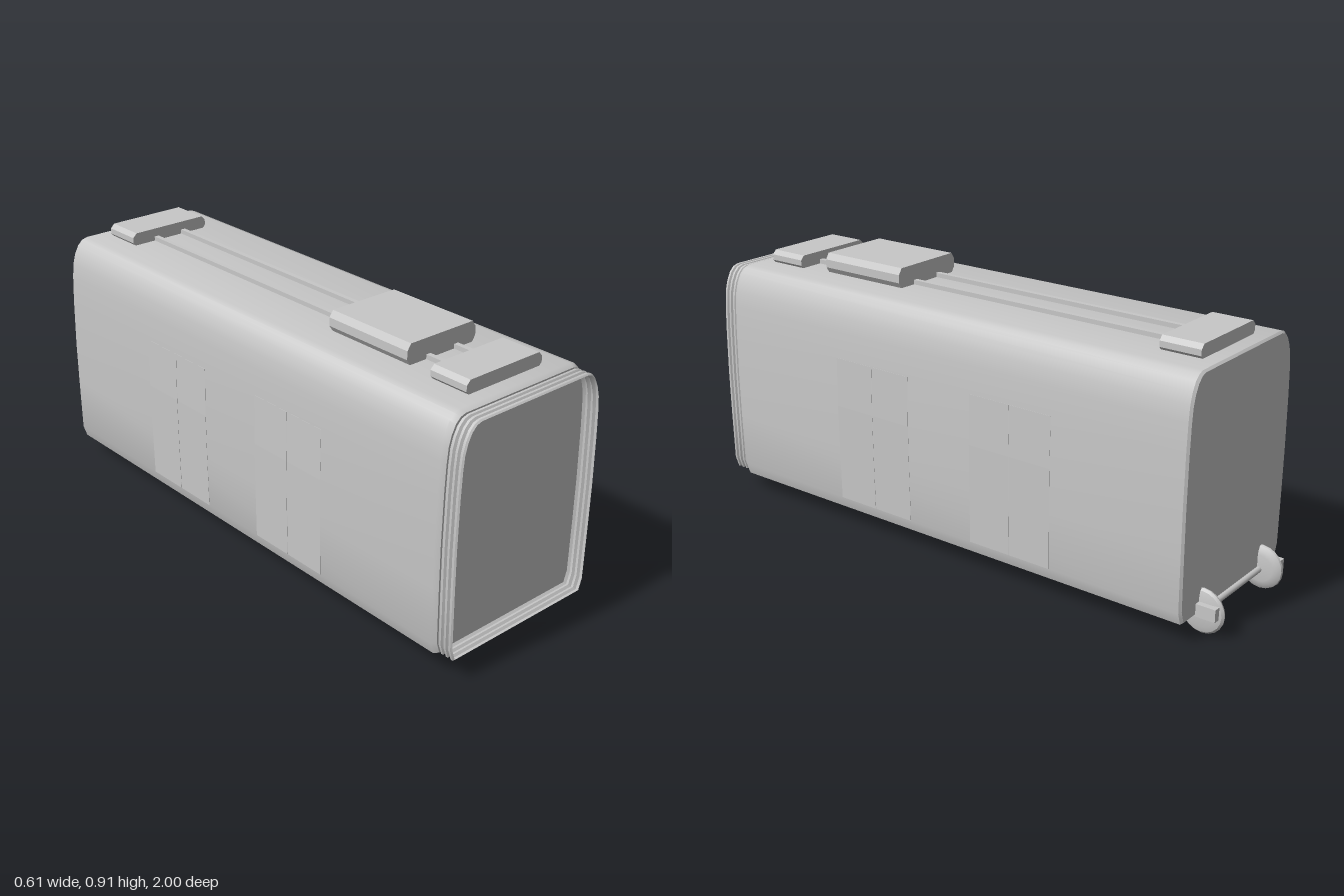
import * as THREE from 'three';
import { toCreasedNormals } from 'three/addons/utils/BufferGeometryUtils.js';

const paint = new THREE.MeshStandardMaterial({ color: 0xc8c8c8 });
paint.name = 'grey';
const paintDouble = paint.clone();
paintDouble.side = THREE.DoubleSide;

// Half of the body section, bottom to top
const HALF = [
  [0.288, 0.07], [0.301, 0.11], [0.304, 0.3], [0.305, 0.45], [0.302, 0.62], [0.298, 0.71],
  [0.293, 0.76], [0.283, 0.795], [0.268, 0.824], [0.25, 0.841], [0.23, 0.847],
];
const SECTION = [...HALF, ...HALF.map(([x, y]) => [-x, y]).reverse()];
const MID_Y = 0.4585;

// Lofts the section along z; each station is [z, inset], running back to front
function loft(stations, capped) {
  const n = SECTION.length, pos = [], idx = [];
  for (const [z, inset] of stations) {
    for (const [x, y] of SECTION) {
      pos.push(x * (1 - inset / 0.305), MID_Y + (y - MID_Y) * (1 - inset / 0.389), z);
    }
  }
  for (let s = 0; s < stations.length - 1; s++) {
    for (let i = 0; i < n; i++) {
      const a = s * n + i, b = s * n + (i + 1) % n;
      idx.push(a, b, b + n, a, b + n, a + n);
    }
  }
  if (capped) {
    const last = (stations.length - 1) * n;
    for (let i = 1; i < n - 1; i++) {
      idx.push(0, i + 1, i);
      idx.push(last, last + i, last + i + 1);
    }
  }
  const g = new THREE.BufferGeometry();
  g.setAttribute('position', new THREE.Float32BufferAttribute(pos, 3));
  g.setIndex(idx);
  return toCreasedNormals(g, 0.6);
}

function extrudeZ(points, z0, z1) {
  const shape = new THREE.Shape(points.map(([x, y]) => new THREE.Vector2(x, y)));
  const g = new THREE.ExtrudeGeometry(shape, { depth: z1 - z0, bevelEnabled: false });
  return g.translate(0, 0, z0);
}

// Roof unit with chamfered long edges
function roofUnit(x0, x1, y0, y1, z0, z1) {
  const c = 0.014, d = (y1 - y0) * 0.3;
  return extrudeZ([
    [x0 + c, y0], [x1 - c, y0], [x1, y0 + d], [x1, y1 - d],
    [x1 - c, y1], [x0 + c, y1], [x0, y1 - d], [x0, y0 + d],
  ], z0, z1);
}

export function createModel() {
  const model = new THREE.Group();
  model.name = 'busSection';
  const add = (name, geometry, parent = model, material = paint) => {
    const mesh = new THREE.Mesh(geometry, material);
    mesh.name = name;
    parent.add(mesh);
    return mesh;
  };

  // Main shell
  add('body', loft([[-0.918, 0.006], [-0.91, 0], [0.925, 0], [0.942, 0.008]], true));

  // Open folding joint at the front
  const folds = [[0.94, 0.016]];
  for (let i = 0; i < 3; i++) {
    const z = 0.944 + i * 0.019;
    folds.push([z + 0.005, 0.008], [z + 0.013, 0.008], [z + 0.018, 0.015]);
  }
  folds[folds.length - 1] = [1, 0.012];
  add('bellows', loft(folds, false), model, paintDouble);

  // Roof equipment
  add('rearRoofBox', roofUnit(-0.157, 0.157, 0.842, 0.891, -0.86, -0.72));
  add('frontRoofBox', roofUnit(-0.157, 0.157, 0.842, 0.891, 0.74, 0.88));
  add('airConditioner', roofUnit(-0.145, 0.14, 0.845, 0.915, 0.3, 0.635));
  for (const x of [-0.058, 0.058]) {
    const rail = add('roofRail', new THREE.BoxGeometry(0.017, 0.02, 1.48));
    rail.position.set(x, 0.852, 0.01);
  }

  // Thin double-leaf door panels that follow the side walls
  for (const side of [-1, 1]) {
    for (const z of [-0.285, 0.285]) {
      for (const leaf of [-1, 1]) {
        const outer = [[0.301, 0.11], [0.304, 0.3], [0.305, 0.45], [0.302, 0.62]];
        const points = [
          ...outer.map(([x, y]) => [side * (x + 0.0008), y]),
          ...outer.map(([x, y]) => [side * (x - 0.003), y]).reverse(),
        ];
        const centre = z + leaf * 0.079;
        add('doorLeaf', extrudeZ(points, centre - 0.078, centre + 0.078));
      }
    }
  }

  // Two axles, each with a pair of lens-shaped wheels and outer hub blocks
  const tyre = toCreasedNormals(new THREE.LatheGeometry([
    [0, -0.015], [0.05, -0.015], [0.068, -0.01], [0.075, -0.003],
    [0.073, 0.004], [0.06, 0.012], [0.045, 0.015], [0, 0.015],
  ].map(([r, h]) => new THREE.Vector2(r, h)), 20), 0.5);
  for (const z of [-0.49, -0.925]) {
    const set = new THREE.Group();
    set.name = 'wheelSet';
    set.position.set(0, 0.078, z);
    model.add(set);
    const axle = add('axle', new THREE.CylinderGeometry(0.01, 0.01, 0.36, 8), set);
    axle.rotation.z = Math.PI / 2;
    axle.position.y = -0.004;
    for (const side of [-1, 1]) {
      const wheel = add('wheel', tyre, set);
      wheel.rotation.z = side * Math.PI / 2;
      wheel.position.x = side * 0.181;
      const hub = add('hubBlock', new THREE.BoxGeometry(0.025, 0.042, 0.12), set);
      hub.position.set(side * 0.203, 0.012, 0);
    }
  }
  return model;
}
